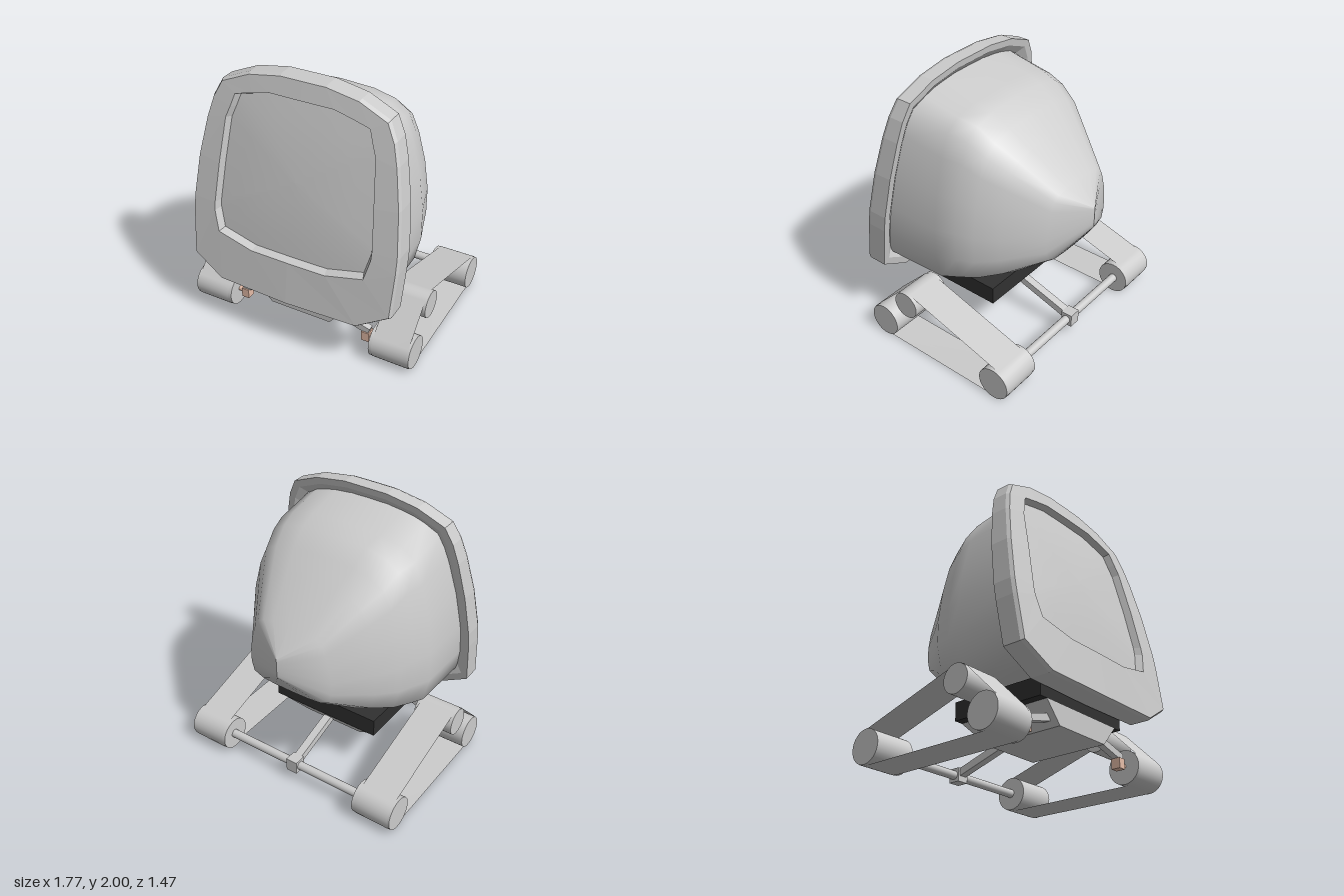
import * as THREE from 'three';

const V = (x, y, z) => new THREE.Vector3(x, y, z);
const grey = new THREE.MeshStandardMaterial({ color: 0xcccccc });
const greyFlat = new THREE.MeshStandardMaterial({ color: 0xcccccc, flatShading: true });
const greyThin = new THREE.MeshStandardMaterial({ color: 0xcccccc, side: THREE.DoubleSide });
const black = new THREE.MeshStandardMaterial({ color: 0x303030 });
const copper = new THREE.MeshStandardMaterial({ color: 0xe6bda8 });

function add(parent, name, geometry, material, pos) {
  const mesh = new THREE.Mesh(geometry, material);
  mesh.name = name;
  if (pos) mesh.position.copy(pos);
  parent.add(mesh);
  return mesh;
}

// Skin through closed rings of equal length
function loft(rings) {
  const n = rings[0].length, index = [];
  for (let i = 0; i < rings.length - 1; i++) {
    for (let j = 0; j < n; j++) {
      const k = (j + 1) % n;
      const a = i * n + j, b = i * n + k, c = a + n, d = b + n;
      index.push(a, c, d, a, d, b);
    }
  }
  const g = new THREE.BufferGeometry().setFromPoints(rings.flat());
  g.setIndex(index);
  g.computeVertexNormals();
  return g;
}

// Half outline (top to bottom on +x) to a full closed outline
const mirror = (half) => [...half, ...half.slice(1, -1).reverse().map(([x, y]) => [-x, y])];
const scaled = (outline, s, cy) => outline.map(([x, y]) => [x * s, cy + (y - cy) * s]);
const ring = (outline, zAt) => outline.map(([x, y]) => V(x, y, zAt(x, y)));

// Square bar between two points
function bar(parent, name, a, b, w, h) {
  const m = add(parent, name, new THREE.BoxGeometry(w, h, a.distanceTo(b)), grey,
    a.clone().add(b).multiplyScalar(0.5));
  m.lookAt(b);
}

// Cylinder along x
function rod(parent, name, r, length, material, pos) {
  add(parent, name, new THREE.CylinderGeometry(r, r, length, 32).rotateZ(Math.PI / 2), material, pos);
}

const outer = mirror([[0, 2], [0.17, 2], [0.41, 1.96], [0.62, 1.87], [0.68, 1.75], [0.72, 1.6],
  [0.77, 1.32], [0.8, 1], [0.8, 0.88], [0.785, 0.55], [0.55, 0.41], [0, 0.4]]);
const opening = mirror([[0, 1.865], [0.24, 1.865], [0.37, 1.835], [0.5, 1.8], [0.53, 1.71], [0.56, 1.63],
  [0.59, 1.3], [0.612, 1], [0.61, 0.94], [0.57, 0.79], [0.29, 0.73], [0, 0.73]]);

// Bulging front face and tilted back plane of the head
const frontZ = (x, y) => 0.43 + 0.19 * (2 - y) + 0.03 * (1 - ((y - 1.2) / 0.8) ** 2) - 0.025 * (x / 0.8) ** 2;
const backZ = (x, y) => 0.3 + 0.158 * (2 - y);

function buildHead(parent) {
  const head = new THREE.Group();
  head.name = 'head';
  parent.add(head);

  const glassEdge = scaled(opening, 0.965, 1.3);
  const glassZ = (x, y) => frontZ(x, y) - 0.05;
  add(head, 'bezel', loft([
    ring(scaled(outer, 0.87, 1.18), (x, y) => backZ(x, y) + 0.04),
    ring(scaled(outer, 0.94, 1.18), backZ),
    ring(outer, backZ),
    ring(outer, (x, y) => frontZ(x, y) - 0.025),
    ring(scaled(outer, 0.985, 1.18), frontZ),
    ring(opening, frontZ),
    ring(glassEdge, glassZ),
  ]), greyFlat);

  add(head, 'screen', loft([1, 0.75, 0.5, 0.25, 0].map((s) =>
    ring(scaled(glassEdge, s, 1.3), (x, y) => glassZ(x, y) + 0.015 * (1 - s * s)))), grey);

  // Rear shell: one section shape, sized along z
  const section = mirror([[0, 1], [0.38, 0.98], [0.62, 0.92], [0.77, 0.81], [0.86, 0.58], [0.95, 0.2],
    [1, -0.2], [1, -0.55], [0.94, -0.83], [0.72, -0.95], [0.4, -0.99], [0, -1]]);
  const stations = [ // z, top, bottom, half width
    [-0.735, 1.18, 1.02, 0], [-0.59, 1.35, 0.81, 0.34], [-0.34, 1.58, 0.645, 0.525],
    [-0.2, 1.7, 0.585, 0.63], [-0.07, 1.8, 0.535, 0.67], [0.07, 1.835, 0.495, 0.715],
    [null, 1.9, 0.475, 0.72],
  ];
  add(head, 'rearShell', loft(stations.map(([z, top, bottom, w]) =>
    section.map(([u, v]) => {
      const y = (top + bottom) / 2 + v * (top - bottom) / 2;
      return V(u * w, y, z ?? backZ(0, y) + 0.05);
    }))), grey);
}

// Belt path around wheels [z, y, r], listed anticlockwise in (z, y)
function beltPath(wheels) {
  const n = wheels.length;
  const normals = wheels.map(([z, y, r], i) => {
    const [z2, y2, r2] = wheels[(i + 1) % n];
    return Math.atan2(y2 - y, z2 - z) - Math.acos((r - r2) / Math.hypot(z2 - z, y2 - y));
  });
  const path = [];
  wheels.forEach(([z, y, r], i) => {
    const from = normals[(i + n - 1) % n];
    const turn = (((normals[i] - from) % (2 * Math.PI)) + 2 * Math.PI) % (2 * Math.PI);
    for (let k = 0; k <= 12; k++) {
      const t = from + turn * k / 12;
      path.push([z + r * Math.cos(t), y + r * Math.sin(t)]);
    }
  });
  return path;
}

function buildTracks(parent) {
  const wheels = [[0.46, 0.127, 0.123], [0.23, 0.39, 0.102], [-0.57, 0.127, 0.123]];
  const names = ['frontWheel', 'upperWheel', 'rearWheel'];
  const path = beltPath(wheels.map(([z, y, r]) => [z, y, r + 0.003]));
  for (const s of [1, -1]) {
    const track = new THREE.Group();
    track.name = s > 0 ? 'leftTrack' : 'rightTrack';
    parent.add(track);
    wheels.forEach(([z, y, r], i) => rod(track, names[i], r, 0.31, grey, V(s * 0.73, y, z)));
    add(track, 'belt', loft([0.6, 0.87].map((x) => path.map(([z, y]) => V(s * x, y, z)))), greyThin);
    // Front suspension
    bar(track, 'frontArm', V(s * 0.53, 0.18, 0.46), V(s * 0.26, 0.255, 0.46), 0.05, 0.05);
    add(track, 'hubBlock', new THREE.BoxGeometry(0.06, 0.075, 0.07), copper, V(s * 0.505, 0.133, 0.46));
    rod(track, 'hubPin', 0.018, 0.07, copper, V(s * 0.56, 0.133, 0.46));
  }
}

function buildChassis(parent) {
  const chassis = new THREE.Group();
  chassis.name = 'chassis';
  parent.add(chassis);
  add(chassis, 'upperPlate', new THREE.BoxGeometry(0.87, 0.135, 0.735), black, V(0, 0.4075, 0.1675));

  // Hull narrows downward, with a sloped rear and upright front
  const hull = new THREE.BoxGeometry(0.74, 0.15, 0.735).translate(0, 0.265, 0.1675);
  const p = hull.attributes.position;
  for (let i = 0; i < p.count; i++) {
    if (p.getY(i) > 0.26) continue;
    p.setX(i, Math.sign(p.getX(i)) * 0.24);
    if (p.getZ(i) < 0) p.setZ(i, -0.08);
  }
  hull.computeVertexNormals();
  add(chassis, 'lowerHull', hull, greyFlat);

  // Rear axle and its trailing arm
  rod(chassis, 'rearAxle', 0.032, 1.18, grey, V(0, 0.13, -0.575));
  bar(chassis, 'rearArm', V(0, 0.285, -0.1), V(0, 0.145, -0.55), 0.06, 0.055);
  add(chassis, 'axleCollar', new THREE.BoxGeometry(0.09, 0.1, 0.09), grey, V(0, 0.13, -0.575));
}

export function createModel() {
  const model = new THREE.Group();
  model.name = 'trackedScreenRobot';
  buildHead(model);
  buildChassis(model);
  buildTracks(model);
  return model;
}
